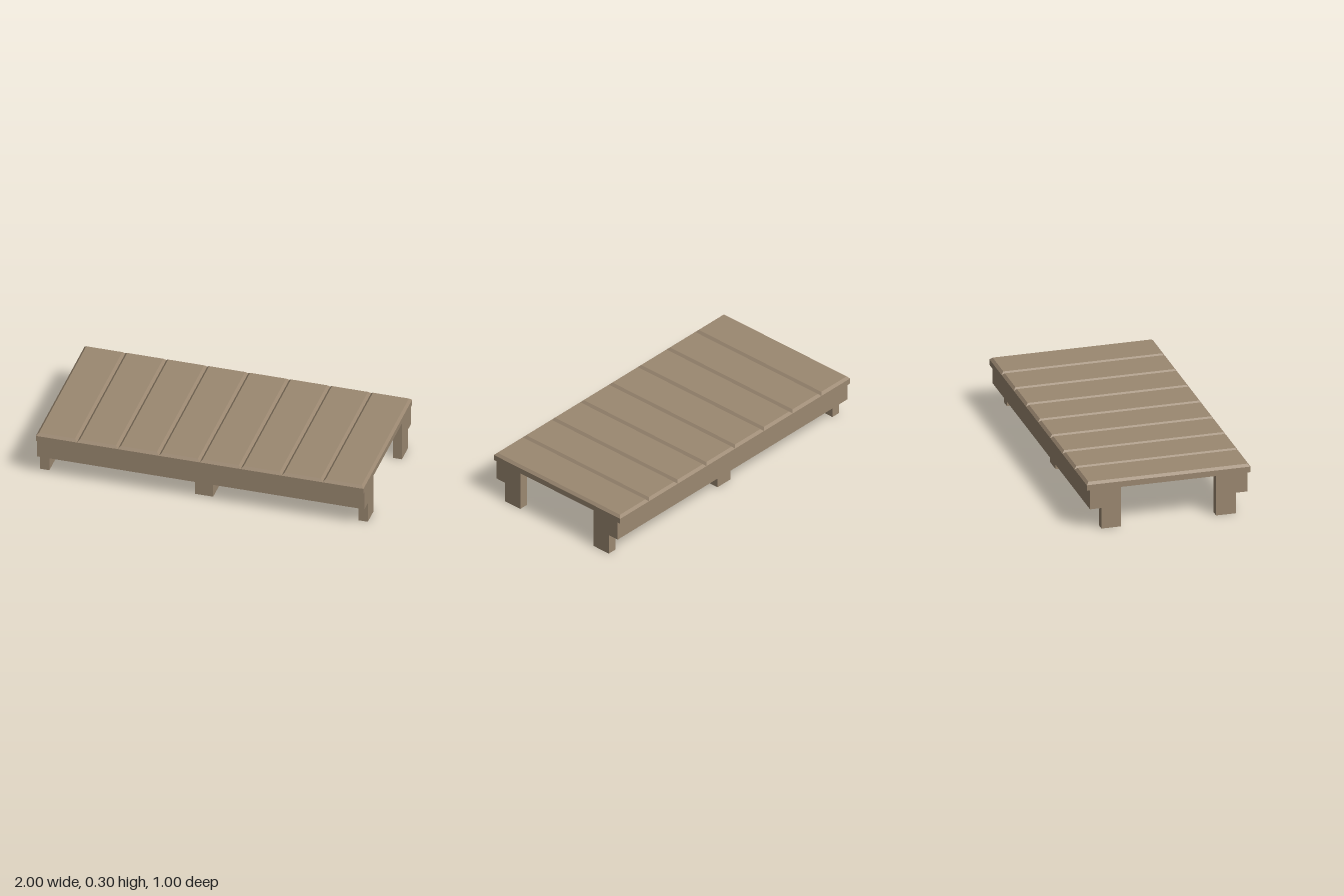
import * as THREE from 'three';

const DECK_Y = 0.25; // underside of the planks
const BEVEL = 0.015;

// Box with chamfered top edges, standing on its own y = 0
function plankGeometry(w, h, d) {
  const box = new THREE.BoxGeometry(w, h, d, 1, 2, 1).translate(0, h / 2, 0);
  const p = box.attributes.position;
  for (let i = 0; i < p.count; i++) {
    const y = p.getY(i);
    if (y > h * 0.75) {
      p.setX(i, p.getX(i) - Math.sign(p.getX(i)) * BEVEL);
      p.setZ(i, p.getZ(i) - Math.sign(p.getZ(i)) * BEVEL);
    } else if (y > h * 0.25) {
      p.setY(i, h - BEVEL);
    }
  }
  const flat = box.toNonIndexed();
  flat.computeVertexNormals();
  return flat;
}

export function createModel() {
  const group = new THREE.Group();
  group.name = 'woodenPlatform';
  const wood = new THREE.MeshStandardMaterial({ color: 0x9b8871 });
  wood.name = 'weathered wood';

  const add = (name, geometry, x, y, z) => {
    const mesh = new THREE.Mesh(geometry, wood);
    mesh.name = name;
    mesh.position.set(x, y, z);
    group.add(mesh);
  };

  // Deck of eight chamfered planks
  const plank = plankGeometry(0.25, 0.05, 1);
  for (let i = 0; i < 8; i++) add('plank', plank, -0.875 + i * 0.25, DECK_Y, 0);

  // Front and back skirts, each with two end legs and a wider middle leg behind it
  const skirt = new THREE.BoxGeometry(2, 0.12, 0.07);
  const endLeg = new THREE.BoxGeometry(0.056, DECK_Y, 0.12);
  const middleLeg = new THREE.BoxGeometry(0.112, DECK_Y, 0.12);
  for (const side of [1, -1]) {
    add(side > 0 ? 'frontSkirt' : 'backSkirt', skirt, 0, 0.19, side * 0.445);
    add('middleLeg', middleLeg, 0, DECK_Y / 2, side * 0.35);
    for (const end of [1, -1]) add('endLeg', endLeg, end * 0.972, DECK_Y / 2, side * 0.35);
  }
  return group;
}
